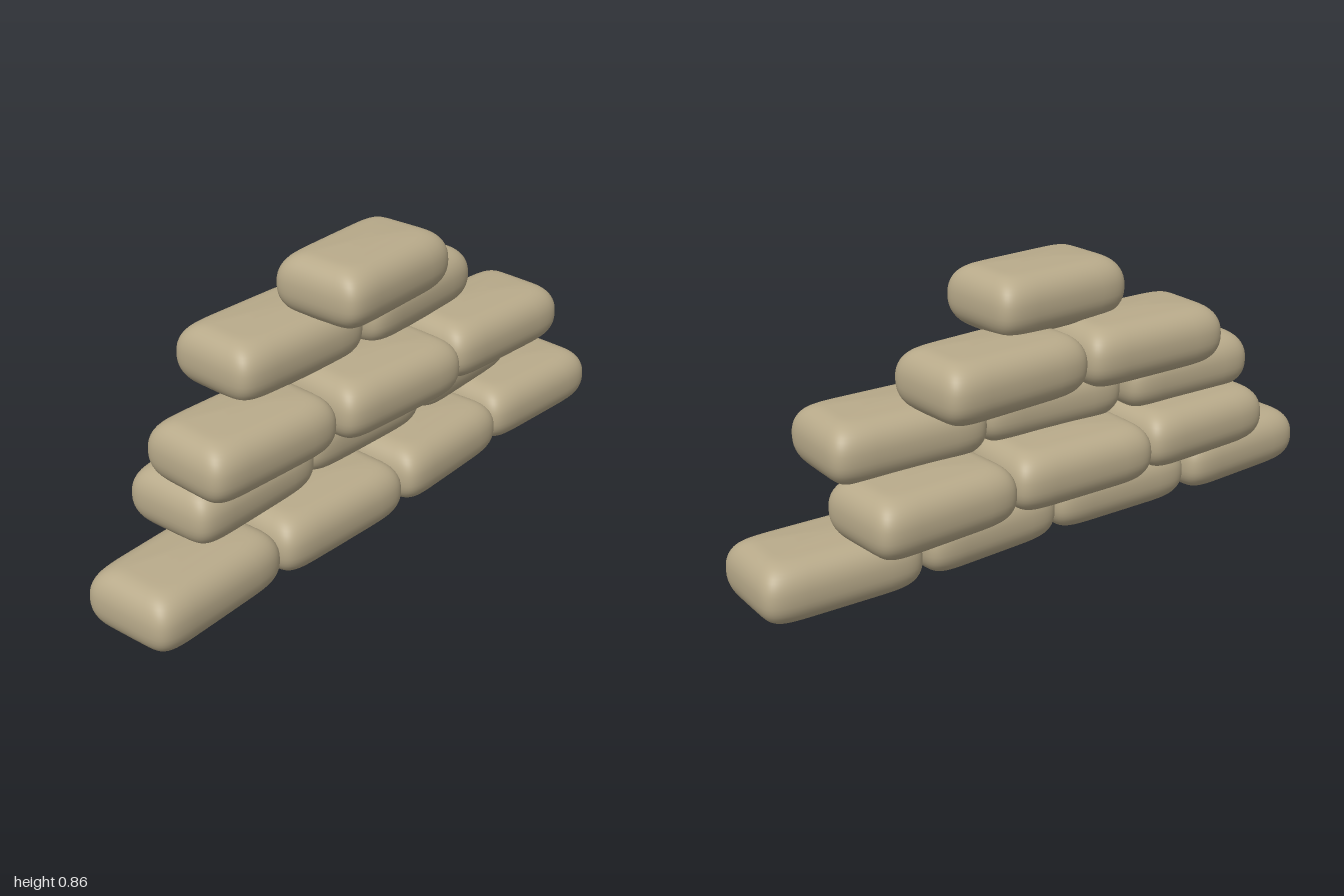
import * as THREE from 'three';
import { mergeVertices } from 'three/addons/utils/BufferGeometryUtils.js';

// Plump bag: rounded-rectangle plan, rounded rim, nearly flat top and bottom
function bagGeometry(width, height, depth) {
  const geo = new THREE.SphereGeometry(1, 64, 28);
  const pos = geo.attributes.position;
  const uv = geo.attributes.uv;
  const power = (v, e) => Math.sign(v) * Math.pow(Math.abs(v), e);
  const rimX = 0.085, rimZ = 0.092, crown = 0.006, capShare = 0.2;
  for (let i = 0; i < pos.count; i++) {
    const phi = Math.round(uv.getX(i) * 64) / 64 * Math.PI * 2;
    const lat = Math.asin(THREE.MathUtils.clamp(pos.getY(i), -1, 1)) / (Math.PI / 2);
    const t = Math.abs(lat);
    let inset, y, scale = 1;
    if (t < 1 - capShare) {
      const a = t / (1 - capShare) * Math.PI / 2;
      inset = 1 - power(Math.cos(a), 0.87);
      y = (height / 2 - crown) * power(Math.sin(a), 0.87);
    } else {
      scale = Math.max(0, (1 - t) / capShare);
      inset = 1;
      y = height / 2 - crown * scale * scale;
    }
    const px = power(Math.cos(phi), 0.29), pz = power(Math.sin(phi), 0.29);
    pos.setXYZ(i,
      -px * (width / 2 - rimX * inset) * scale,
      Math.sign(lat) * y,
      pz * (depth / 2 - rimZ * inset) * scale);
  }
  geo.deleteAttribute('uv');
  geo.deleteAttribute('normal');
  const smooth = mergeVertices(geo, 1e-5);
  smooth.computeVertexNormals();
  return smooth;
}

export function createModel() {
  const group = new THREE.Group();
  group.name = 'sandbagPile';
  const canvas = new THREE.MeshStandardMaterial({ color: 0xb8aa8a });
  canvas.name = 'sandCanvas';

  // Courses from the ground up; each bag is [x, z, width, yaw]
  const courses = [
    { y: 0.103, bags: [[-0.753, 0.052, 0.49, 0.04], [-0.25, 0.06, 0.51, -0.03], [0.25, 0.055, 0.475, 0.04], [0.747, 0.045, 0.5, -0.05]] },
    { y: 0.27, bags: [[-0.502, -0.045, 0.485, 0.03], [-0.005, -0.07, 0.5, -0.03], [0.497, -0.085, 0.48, 0.05]] },
    { y: 0.434, bags: [[-0.507, 0.042, 0.48, -0.04], [-0.007, 0.082, 0.495, -0.06], [0.497, 0.078, 0.505, -0.05]] },
    { y: 0.597, bags: [[-0.258, -0.085, 0.505, -0.03], [0.248, -0.075, 0.505, 0.05]] },
    { y: 0.763, bags: [[0, 0.042, 0.475, 0.04]] },
  ];
  courses.forEach((course, row) => {
    const layer = new THREE.Group();
    layer.name = `course${row + 1}`;
    course.bags.forEach(([x, z, width, yaw], i) => {
      const bag = new THREE.Mesh(bagGeometry(width, 0.2, 0.318), canvas);
      bag.name = `sandbag${i + 1}`;
      bag.position.set(x, course.y, z);
      bag.rotation.y = yaw;
      layer.add(bag);
    });
    group.add(layer);
  });
  return group;
}
